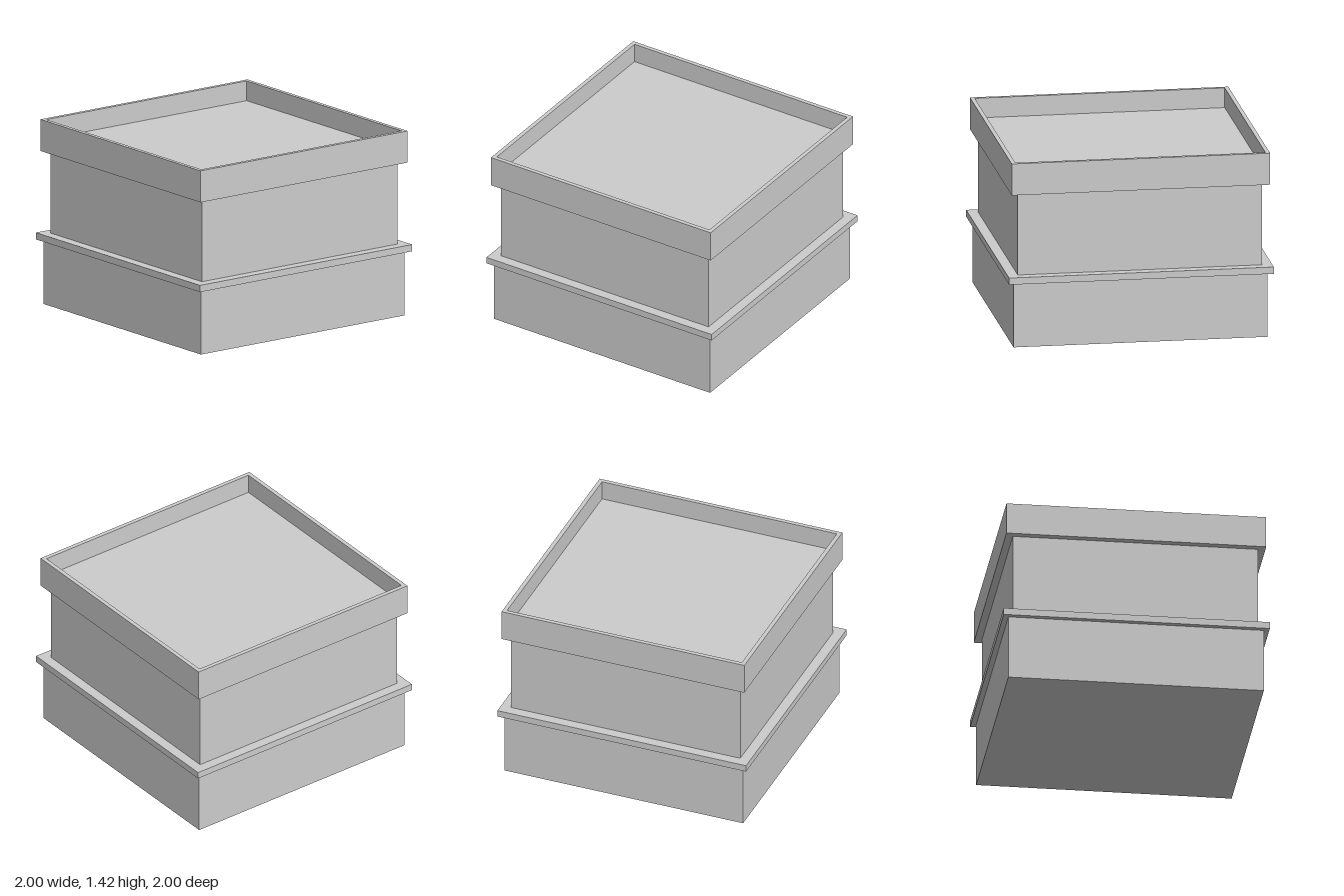
import * as THREE from 'three';

const material = new THREE.MeshStandardMaterial({ color: 0xcccccc, flatShading: true });

// Square block given by its half width and its bottom and top heights
function block(name, half, y0, y1) {
  const mesh = new THREE.Mesh(new THREE.BoxGeometry(half * 2, y1 - y0, half * 2), material);
  mesh.position.y = (y0 + y1) / 2;
  mesh.name = name;
  return mesh;
}

function square(PathType, half) {
  const path = new PathType();
  path.moveTo(-half, -half);
  path.lineTo(half, -half);
  path.lineTo(half, half);
  path.lineTo(-half, half);
  path.closePath();
  return path;
}

// Square ring of wall, open at the top
function ring(name, outer, inner, y0, y1) {
  const shape = square(THREE.Shape, outer);
  shape.holes.push(square(THREE.Path, inner));
  const geometry = new THREE.ExtrudeGeometry(shape, { depth: y1 - y0, bevelEnabled: false });
  geometry.rotateX(-Math.PI / 2);
  const mesh = new THREE.Mesh(geometry, material);
  mesh.position.y = y0;
  mesh.name = name;
  return mesh;
}

export function createModel() {
  const group = new THREE.Group();
  group.name = 'building';
  group.add(
    block('lowerStorey', 0.96, 0, 0.495),
    block('ledge', 1, 0.495, 0.547),
    block('upperStorey', 0.922, 0.547, 1.177),
    // Sunken roof inside the parapet wall
    block('roofDeck', 0.944, 1.177, 1.268),
    ring('parapet', 0.976, 0.944, 1.177, 1.42),
  );
  return group;
}
